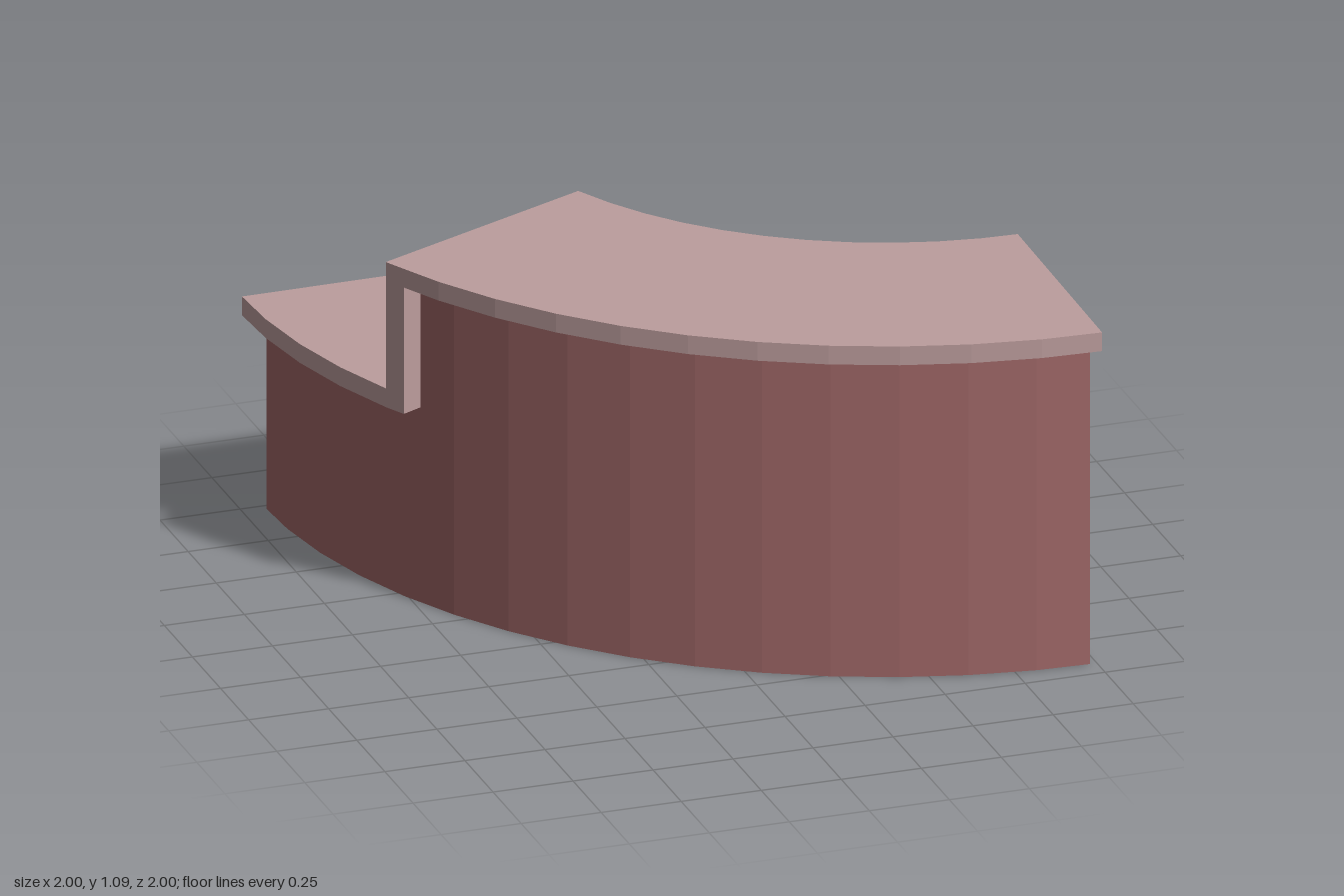
import * as THREE from 'three';

const DEG = Math.PI / 180;
const CX = 1.017, CZ = -1.016;   // centre of the curve
const STEP = 6;                  // degrees per facet

// Point on the faceted arc; angle 0 is the low left end, 90 the tall right end
function arcPoint(radius, angle) {
  const half = STEP / 2;
  const offset = (angle % STEP) - half;
  const r = radius * Math.cos(half * DEG) / Math.cos(offset * DEG);
  return new THREE.Vector2(CX - r * Math.cos(angle * DEG), -(CZ + r * Math.sin(angle * DEG)));
}

// Curved slab between two radii, two angles and two heights
function arcBlock(r0, r1, a0, a1, y0, y1) {
  const angles = [a0];
  for (let a = STEP; a < a1; a += STEP) if (a > a0) angles.push(a);
  angles.push(a1);
  const outer = angles.map(a => arcPoint(r1, a));
  const inner = angles.map(a => arcPoint(r0, a)).reverse();
  const geometry = new THREE.ExtrudeGeometry(new THREE.Shape([...outer, ...inner]),
    { depth: y1 - y0, bevelEnabled: false });
  geometry.rotateX(-Math.PI / 2);
  geometry.translate(0, y0, 0);
  return geometry;
}

export function createModel() {
  const group = new THREE.Group();
  group.name = 'curvedReceptionDesk';

  const worktop = new THREE.MeshStandardMaterial({ color: 0xbc9d9d });
  worktop.name = 'paleWorktop';
  const carcass = new THREE.MeshStandardMaterial({ color: 0x9f6767 });
  carcass.name = 'dustyRedCarcass';

  const add = (name, material, ...dims) => {
    const mesh = new THREE.Mesh(arcBlock(...dims), material);
    mesh.name = name;
    group.add(mesh);
  };

  // Folded worktop: low slab, riser, high slab
  const TI = 1.237, TO = 2.016, T0 = 0.74, T1 = 89.26;
  const R0 = 23.9, R1 = 26;
  add('lowWorktop', worktop, TI, TO, T0, R0, 0.625, 0.685);
  add('worktopRiser', worktop, TI, TO, R0, R1, 0.625, 1.09);
  add('highWorktop', worktop, TI, TO, R1, T1, 1.03, 1.09);

  // Cabinet: outer shell
  const BI = 1.31, BM = 1.79, BO = 1.945, B0 = 1.15, B1 = 88.85;
  const W0 = 3.4, W1 = 86.6, S1 = 27.4;
  add('lowEndPanel', carcass, BI, BO, B0, W0, 0, 0.625);
  add('highEndPanel', carcass, BI, BO, W1, B1, 0, 1.03);
  add('lowFrontPanel', carcass, BM, BO, W0, W1, 0, 0.625);
  add('highFrontPanel', carcass, BM, BO, R1, W1, 0.625, 1.03);

  // Cabinet: base, shelf and top rails, open at the back
  add('basePanel', carcass, BI, BM, W0, W1, 0, 0.055);
  add('shelf', carcass, BI, BM, W0, W1, 0.49, 0.55);
  add('lowTopPanel', carcass, BI, BM, W0, R1, 0.575, 0.625);
  add('stepPanel', carcass, BI, BM, R1, S1, 0.575, 1.03);
  add('highTopPanel', carcass, BI, BM, S1, W1, 0.985, 1.03);

  return group;
}
